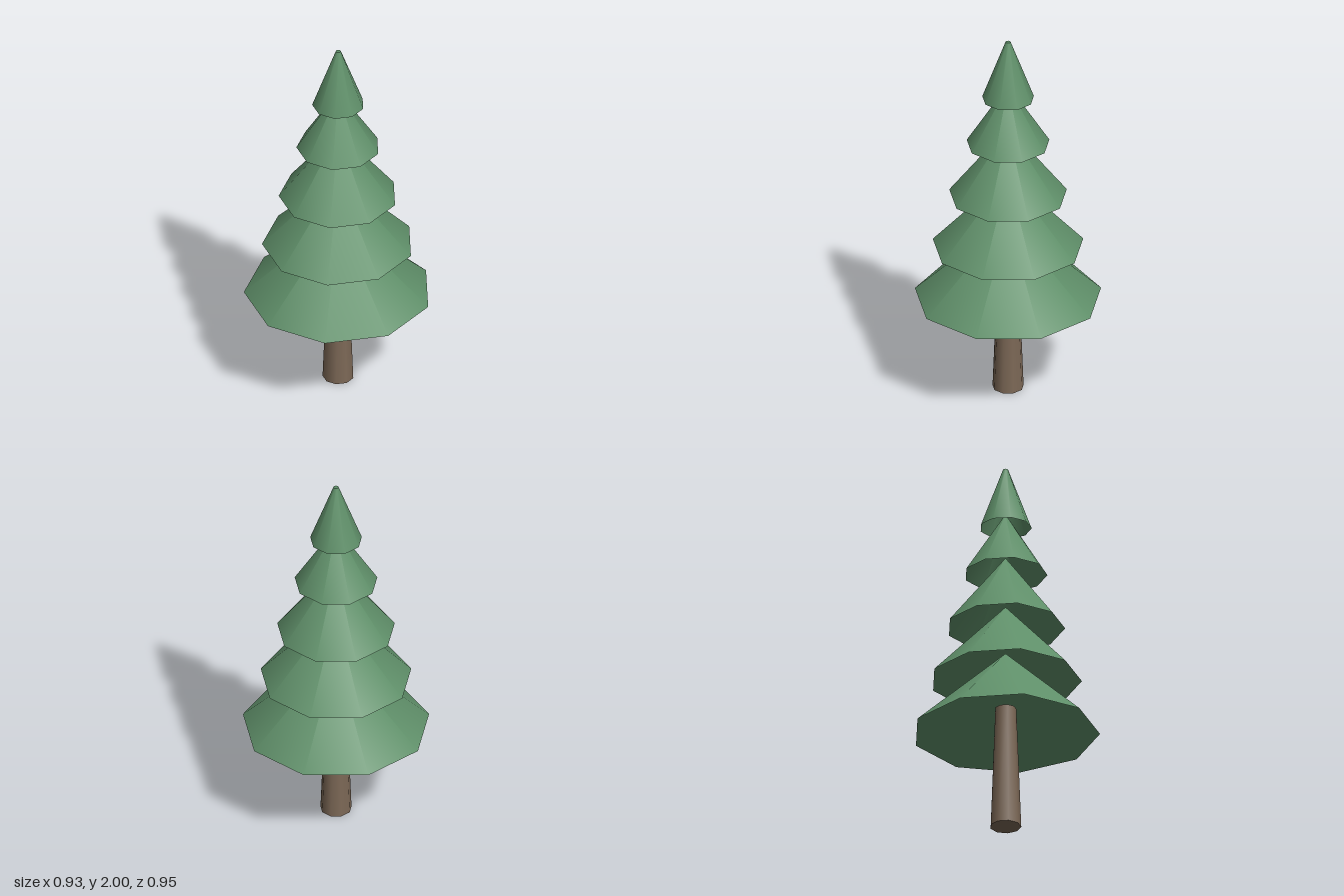
import * as THREE from 'three';

const SIDES = 9;
const CENTRE_X = -0.015; // puts the nine-sided outline centred on x = 0

// Nine-sided tapered shell with one corner pointing to +x
function taper(topRadius, bottomRadius, y0, y1, open) {
  const geometry = new THREE.CylinderGeometry(
    topRadius, bottomRadius, y1 - y0, SIDES, 1, open, Math.PI / 2);
  return geometry.translate(CENTRE_X, (y0 + y1) / 2, 0);
}

export function createModel() {
  const tree = new THREE.Group();
  tree.name = 'pineTree';

  const bark = new THREE.MeshStandardMaterial({ color: 0x7c6856, side: THREE.DoubleSide });
  const needles = new THREE.MeshStandardMaterial({ color: 0x5f8f69, side: THREE.DoubleSide });

  function add(name, geometry, material) {
    const mesh = new THREE.Mesh(geometry, material);
    mesh.name = name;
    tree.add(mesh);
  }

  // Trunk, reaching up inside the lowest tier
  add('trunk', taper(0.055, 0.08, 0, 0.66, false), bark);

  // Hollow foliage tiers, lowest first: rim radius, rim height, tip height, tip radius
  const tipRadius = 0.013;
  const tiers = [
    [0.48, 0.525, 0.97, 0],
    [0.388, 0.82, 1.23, 0],
    [0.303, 1.115, 1.505, 0],
    [0.213, 1.412, 1.75, 0],
    [0.133, 1.673, 2, tipRadius],
  ];
  tiers.forEach(([rim, y0, y1, tip], i) => {
    add(`foliageTier${i + 1}`, taper(tip, rim, y0, y1, true), needles);
  });

  // Small flat cap closing the blunt treetop
  const cap = new THREE.CircleGeometry(tipRadius, SIDES)
    .rotateX(-Math.PI / 2).translate(CENTRE_X, 2, 0);
  add('treetopCap', cap, needles);

  return tree;
}
